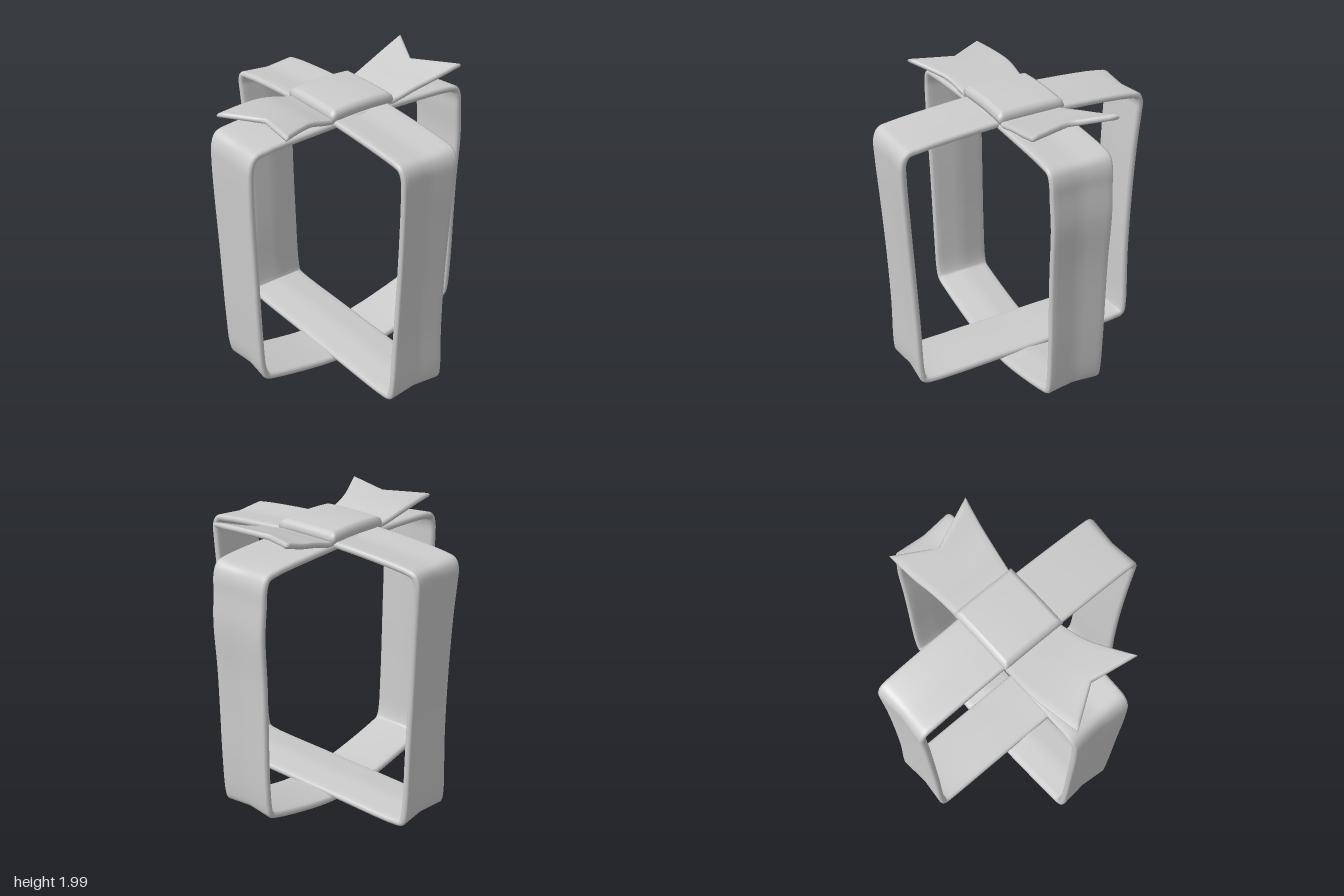
import * as THREE from 'three';
import { mergeVertices } from 'three/addons/utils/BufferGeometryUtils.js';

const material = new THREE.MeshStandardMaterial({ color: 0xcccccc });

// Thin slab with round edges, bent by map(a, c, h): a runs along, c across (both -0.5..0.5), h is the height off the middle.
function slab(name, nx, nz, thickness, insetA, insetC, map) {
  const ny = 4;
  const geo = new THREE.BoxGeometry(1, 1, 1, nx, ny, nz);
  // A closed band has no end faces.
  if (insetA === 0) geo.setIndex(Array.from(geo.index.array).slice(2 * ny * nz * 6));
  geo.deleteAttribute('normal');
  geo.deleteAttribute('uv');
  const pos = geo.attributes.position;
  for (let i = 0; i < pos.count; i++) {
    let a = pos.getX(i), c = pos.getZ(i);
    const angle = pos.getY(i) * Math.PI;
    const inset = 1 - Math.cos(angle);
    if (Math.abs(a) > 0.4999) a -= Math.sign(a) * insetA * inset;
    if (Math.abs(c) > 0.4999) c -= Math.sign(c) * insetC * inset;
    const p = map(a, c, Math.sin(angle) * thickness / 2);
    pos.setXYZ(i, p.x, p.y, p.z);
  }
  const merged = mergeVertices(geo, 1e-5);
  merged.computeVertexNormals();
  const mesh = new THREE.Mesh(merged, material);
  mesh.name = name;
  return mesh;
}

// Closed ribbon round the box: centre line in the xy plane, width set by height, middle slightly sunken.
function band(name, points, halfWidth, offset) {
  const curve = new THREE.CatmullRomCurve3(points.map(([x, y]) => new THREE.Vector3(x, y, 0)), true);
  return slab(name, points.length * 5, 8, 0.045, 0, 0.045, (a, c, h) => {
    const t = (a + 0.5) % 1;
    const p = curve.getPoint(t), d = curve.getTangent(t);
    const out = h - 0.018 * (1 - 2 * Math.abs(c));
    return new THREE.Vector3(p.x - d.y * out, p.y + d.x * out, c * 2 * halfWidth(p.y) + offset);
  });
}

// Ribbon tail between a back edge, a middle line (ending in the notch) and a front edge, all running towards +x.
function tail(name, back, middle, front) {
  const [b, m, f] = [back, middle, front].map(
    (line) => new THREE.CatmullRomCurve3(line.map((p) => new THREE.Vector3(...p))));
  return slab(name, 16, 10, 0.036, 0.025, 0.03, (a, c, h) => {
    const t = a + 0.5;
    const p = m.getPoint(t).lerp((c < 0 ? b : f).getPoint(t), Math.abs(c) * 2);
    const d = m.getTangent(t);
    const side = Math.sign(d.x);
    p.x -= side * d.y * h;
    p.y += Math.abs(d.x) * h;
    return p;
  });
}

export function createModel() {
  const group = new THREE.Group();

  // Ribbon running left to right, lowest at the crossing underneath
  group.add(band('sideRibbon', [
    [0, 1.815], [0.25, 1.807], [0.72, 1.782], [0.775, 1.765], [0.8, 1.71], [0.808, 1.6],
    [0.822, 1.4], [0.808, 1.1], [0.803, 0.8], [0.8, 0.5], [0.785, 0.22], [0.77, 0.17], [0.72, 0.145],
    [0.23, 0.03], [0, 0.023], [-0.23, 0.03], [-0.69, 0.12], [-0.75, 0.142], [-0.775, 0.2],
    [-0.793, 0.45], [-0.81, 1], [-0.823, 1.4], [-0.825, 1.6], [-0.818, 1.71], [-0.79, 1.768],
    [-0.73, 1.785], [-0.25, 1.807],
  ], (y) => 0.198 + 0.006 * y * y, -0.004));

  // Ribbon running front to back
  const frontBack = band('frontBackRibbon', [
    [0, 1.825], [0.24, 1.822], [0.75, 1.785], [0.815, 1.77], [0.843, 1.72], [0.845, 1.6],
    [0.83, 1.3], [0.81, 0.9], [0.795, 0.5], [0.787, 0.13], [0.772, 0.085], [0.73, 0.07],
    [0.22, 0.062], [0, 0.06], [-0.22, 0.062], [-0.74, 0.067], [-0.78, 0.08], [-0.795, 0.13],
    [-0.8, 0.6], [-0.81, 1], [-0.825, 1.4], [-0.84, 1.64], [-0.842, 1.72], [-0.82, 1.768],
    [-0.75, 1.787], [-0.24, 1.825],
  ], (y) => 0.187 + 0.03 * ((y - 0.95) / 0.95) ** 2, 0.01);
  frontBack.rotation.y = -Math.PI / 2;
  group.add(frontBack);

  // Domed knot over the top crossing
  group.add(slab('knot', 12, 12, 0.08, 0.06, 0.06, (a, c, h) => new THREE.Vector3(
    a * 0.47 - 0.005,
    1.865 + h + 0.012 * (1 - 4 * a * a) + 0.005 * (1 - 4 * c * c),
    c * 0.455 - 0.007)));

  // Notched tails of the bow
  group.add(tail('leftTail',
    [[0.16, 1.825, -0.21], [0.25, 1.84, -0.225], [0.4, 1.885, -0.25], [0.55, 1.925, -0.283], [0.725, 1.982, -0.307]],
    [[0.16, 1.825, 0], [0.25, 1.84, 0], [0.36, 1.872, -0.01], [0.48, 1.905, -0.025], [0.59, 1.94, -0.04]],
    [[0.16, 1.825, 0.2], [0.25, 1.84, 0.213], [0.4, 1.885, 0.232], [0.55, 1.925, 0.255], [0.725, 1.982, 0.288]]));

  // The tail on the other side is built along -x, so its edges swap and it is turned half round
  const turn = (line) => line.map(([x, y, z]) => [-x, y, -z]);
  const rightTail = tail('rightTail',
    turn([[-0.16, 1.825, 0.2], [-0.27, 1.845, 0.218], [-0.41, 1.885, 0.243], [-0.55, 1.912, 0.308], [-0.695, 1.938, 0.387]]),
    turn([[-0.16, 1.825, 0], [-0.27, 1.845, 0], [-0.4, 1.88, 0.015], [-0.52, 1.9, 0.045], [-0.635, 1.915, 0.08]]),
    turn([[-0.16, 1.825, -0.21], [-0.27, 1.845, -0.225], [-0.45, 1.885, -0.233], [-0.62, 1.9, -0.212], [-0.805, 1.905, -0.18]]));
  rightTail.rotation.y = Math.PI;
  group.add(rightTail);

  return group;
}
